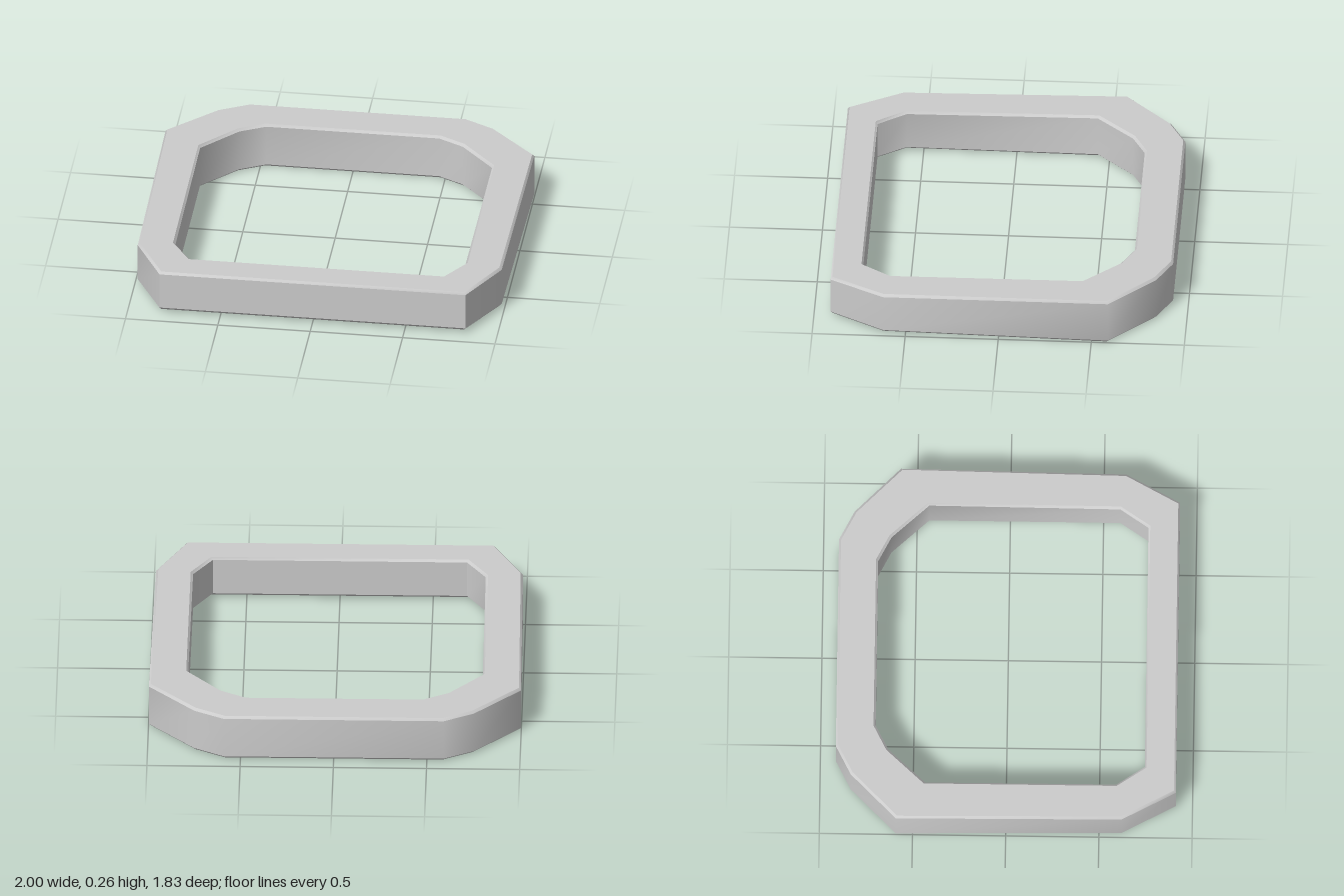
import * as THREE from 'three';
import { mergeGeometries, toCreasedNormals } from 'three/addons/utils/BufferGeometryUtils.js';

// Half outlines on the +x side, from back to front: [x, z]
const OUTER = [[0.59, -0.917], [0.75, -0.835], [0.998, -0.59], [0.985, 0.62], [0.828, 0.91]];
const INNER = [[0.468, -0.705], [0.605, -0.635], [0.79, -0.435], [0.785, 0.59], [0.682, 0.742]];
const BEVEL = 0.013;

// Mirror a half outline into a closed loop
const mirrored = (half) => [...half, ...half.map(([x, z]) => [-x, z]).reverse()];

// The frame is slightly thicker at the back than at the front
function heights(z) {
  const t = THREE.MathUtils.clamp((0.91 - z) / 1.5, 0, 1);
  return [0.018 * (1 - t), 0.25 + 0.01 * t];
}

// Bevelled cross-section at one corner: outer wall up, across the top, down the inner wall
function section([ox, oz], [ix, iz]) {
  const o = new THREE.Vector2(ox, oz);
  const i = new THREE.Vector2(ix, iz);
  const step = i.clone().sub(o).setLength(BEVEL);
  const o2 = o.clone().add(step);
  const i2 = i.clone().sub(step);
  const at = (p, top, inset) => {
    const y = heights(p.y)[top];
    return new THREE.Vector3(p.x, top ? y - inset : y + inset, p.y);
  };
  return [
    at(o, 0, BEVEL), at(o, 1, BEVEL), at(o2, 1, 0), at(i2, 1, 0),
    at(i, 1, BEVEL), at(i, 0, BEVEL), at(i2, 0, 0), at(o2, 0, 0),
  ];
}

export function createModel() {
  const inner = mirrored(INNER);
  const sections = mirrored(OUTER).map((p, n) => section(p, inner[n]));

  // One band per cross-section side, so bevel edges stay sharp while corners shade softly
  const bands = sections[0].map((_, k) => {
    const points = [];
    const k2 = (k + 1) % 8;
    sections.forEach((s, j) => {
      const next = sections[(j + 1) % sections.length];
      points.push(s[k], s[k2], next[k], s[k2], next[k2], next[k]);
    });
    const band = new THREE.BufferGeometry().setFromPoints(points);
    return toCreasedNormals(band, THREE.MathUtils.degToRad(50));
  });

  const frame = new THREE.Mesh(
    mergeGeometries(bands),
    new THREE.MeshStandardMaterial({ color: 0xcccccc }),
  );
  frame.name = 'frameRing';

  const group = new THREE.Group();
  group.name = 'frame';
  group.add(frame);
  return group;
}
